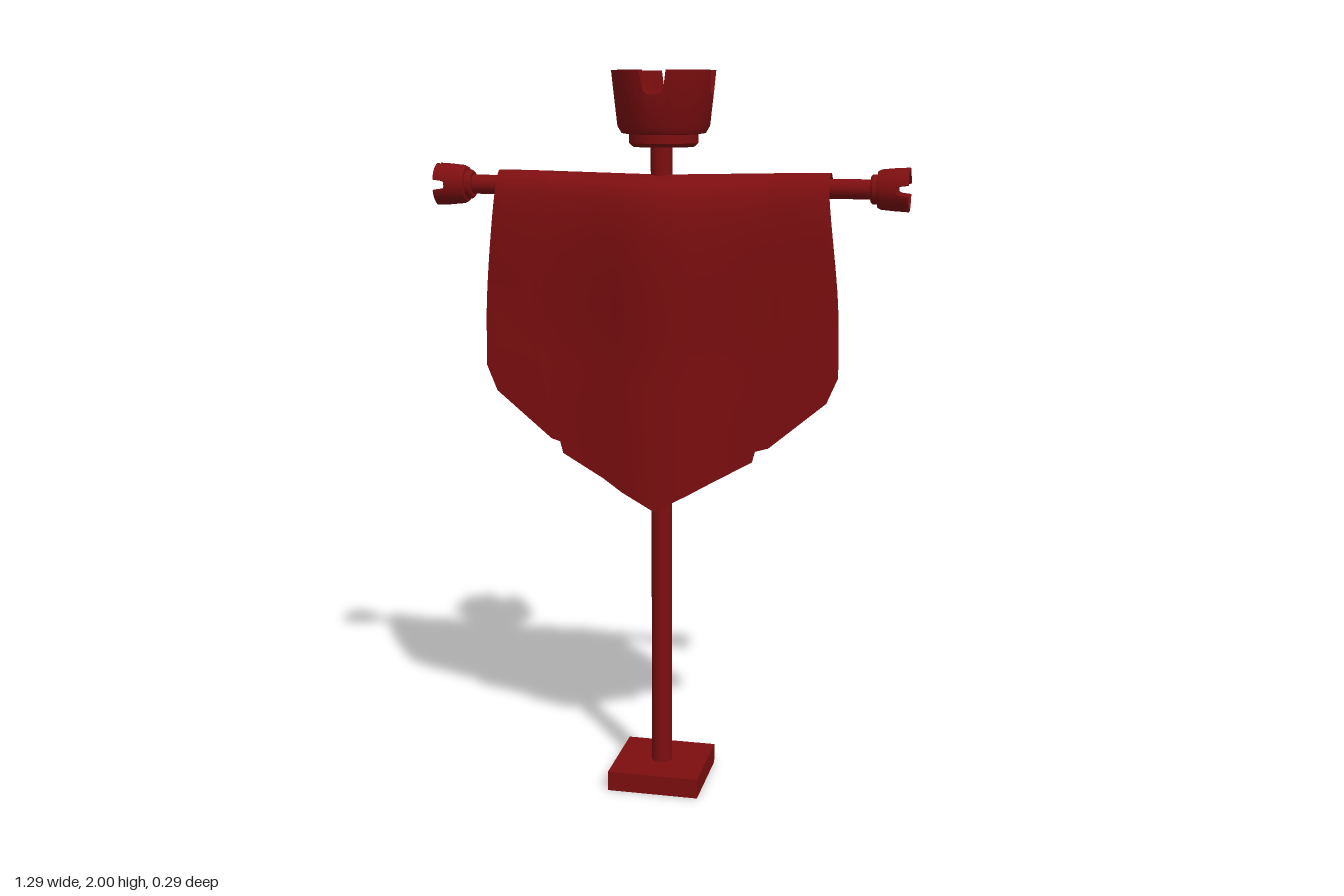
import * as THREE from 'three';
import { toCreasedNormals } from 'three/addons/utils/BufferGeometryUtils.js';

const RED = 0x7d0e10;
const CX = -0.015; // centre line of pole, base, cup and cloth
const POLE_Z = 0.02;
const BAR_Y = 1.695;
const BAR_Z = 0.016;

const solid = new THREE.MeshStandardMaterial({ color: RED });
const fabric = new THREE.MeshStandardMaterial({ color: RED, side: THREE.DoubleSide });

function add(parent, name, geometry, material = solid) {
  const mesh = new THREE.Mesh(geometry, material);
  mesh.name = name;
  parent.add(mesh);
  return mesh;
}

// Cup on a collar, standing on y = 0 and 0.2 tall, with four round-bottomed notches in its rim
function cupGeometry() {
  const height = 0.2, notchY = 0.138;
  const profile = [
    [0, 0], [0.082, 0], [0.093, 0.01], [0.093, 0.033], [0.113, 0.036], [0.124, 0.055],
    [0.14, height], [0.121, height], [0.112, 0.09], [0.096, 0.075], [0, 0.075],
  ].map(([r, y]) => new THREE.Vector2(r, y));
  const geo = new THREE.LatheGeometry(profile, 120);
  const pos = geo.attributes.position;
  for (let i = 0; i < pos.count; i++) {
    if (pos.getY(i) < height - 0.001) continue;
    const angle = Math.atan2(pos.getX(i), pos.getZ(i));
    const quarter = Math.PI / 2;
    const d = Math.abs(angle - Math.round(angle / quarter) * quarter) / 0.26;
    if (d >= 1) continue;
    const drop = (height - notchY) * Math.sqrt(1 - d ** 4);
    const shrink = 1 - drop * 0.75;
    pos.setXYZ(i, pos.getX(i) * shrink, height - drop, pos.getZ(i) * shrink);
  }
  return toCreasedNormals(geo, 0.5);
}

// Draped cloth: each column runs from the rear flap over the bar and down to the hem
function clothGeometry() {
  // u at top, u at middle, u at hem, front z, hem y, rear z, rear y
  const half = [
    [0, 0, 0, 0.122, 0.82, -0.005, 1.718],
    [0.1, 0.1, 0.09, 0.116, 0.868, -0.01, 1.715],
    [0.16, 0.165, 0.15, 0.092, 0.9, -0.016, 1.712],
    [0.3, 0.335, 0.265, 0.087, 0.965, -0.035, 1.7],
    [0.28, 0.305, 0.25, 0.07, 0.985, -0.036, 1.7],
    [0.33, 0.36, 0.305, 0.064, 1.0, -0.052, 1.655],
    [0.425, 0.455, 0.46, 0.064, 1.13, -0.053, 1.665],
    [0.455, 0.485, 0.49, 0.06, 1.2, -0.054, 1.69],
  ];
  const columns = [
    ...half.slice(1).reverse().map((c) => [-1, c]),
    ...half.map((c) => [1, c]),
  ];
  const rows = 36;
  const vertices = [];
  const indices = [];
  columns.forEach(([side, [uTop, uMid, uHem, z, yHem, zRear, yRear]], c) => {
    const crest = 1.727 + 0.009 * Math.min(1, uTop / 0.4);
    const path = new THREE.CatmullRomCurve3([
      [uTop, yRear, zRear],
      [uTop, crest, 0.015],
      [uTop, 1.695, z * 0.92],
      [uMid, THREE.MathUtils.lerp(1.695, yHem, 0.6), z],
      [uHem, yHem, z],
    ].map(([u, y, pz]) => new THREE.Vector3(CX + side * u, y, pz)));
    for (let r = 0; r <= rows; r++) {
      vertices.push(...path.getPoint(r / rows).toArray());
      if (c === 0 || r === 0) continue;
      const b = c * (rows + 1) + r;
      const a = b - rows - 1;
      indices.push(a - 1, a, b, a - 1, b, b - 1);
    }
  });
  const geo = new THREE.BufferGeometry();
  geo.setAttribute('position', new THREE.Float32BufferAttribute(vertices, 3));
  geo.setIndex(indices);
  return toCreasedNormals(geo, 0.6);
}

function square(half, Type) {
  return new Type([[-1, -1], [1, -1], [1, 1], [-1, 1]]
    .map(([x, y]) => new THREE.Vector2(x * half, y * half)));
}

export function createModel() {
  const model = new THREE.Group();
  model.name = 'bannerStand';

  // Square base, hollow underneath
  const base = new THREE.Group();
  base.name = 'base';
  base.position.set(CX, 0, POLE_Z - 0.002);
  model.add(base);
  const outline = square(0.129, THREE.Shape);
  outline.holes.push(square(0.085, THREE.Path));
  const frame = new THREE.ExtrudeGeometry(outline, { depth: 0.04, bevelEnabled: false });
  add(base, 'baseFrame', frame.rotateX(-Math.PI / 2));
  add(base, 'baseTop', new THREE.BoxGeometry(0.258, 0.016, 0.258)).position.y = 0.048;

  // Upright pole and crossbar
  add(model, 'pole', new THREE.CylinderGeometry(0.029, 0.029, 1.79, 20))
    .position.set(CX, 0.915, POLE_Z);
  const bar = add(model, 'crossbar', new THREE.CylinderGeometry(0.026, 0.026, 1.14, 20));
  bar.rotation.z = Math.PI / 2;
  bar.position.set(0, BAR_Y, BAR_Z);

  // Notched cup on top, smaller ones on both bar ends
  const cup = cupGeometry();
  add(model, 'topCup', cup).position.set(CX, 1.8, -0.007);
  for (const side of [-1, 1]) {
    const end = add(model, side > 0 ? 'leftBarEnd' : 'rightBarEnd', cup);
    end.scale.set(0.42, 0.5, 0.42);
    end.rotation.z = -side * Math.PI / 2;
    end.position.set(side * 0.545, BAR_Y, BAR_Z);
  }

  // Hanging cloth with pleats and a pointed hem
  add(model, 'bannerCloth', clothGeometry(), fabric);

  return model;
}
